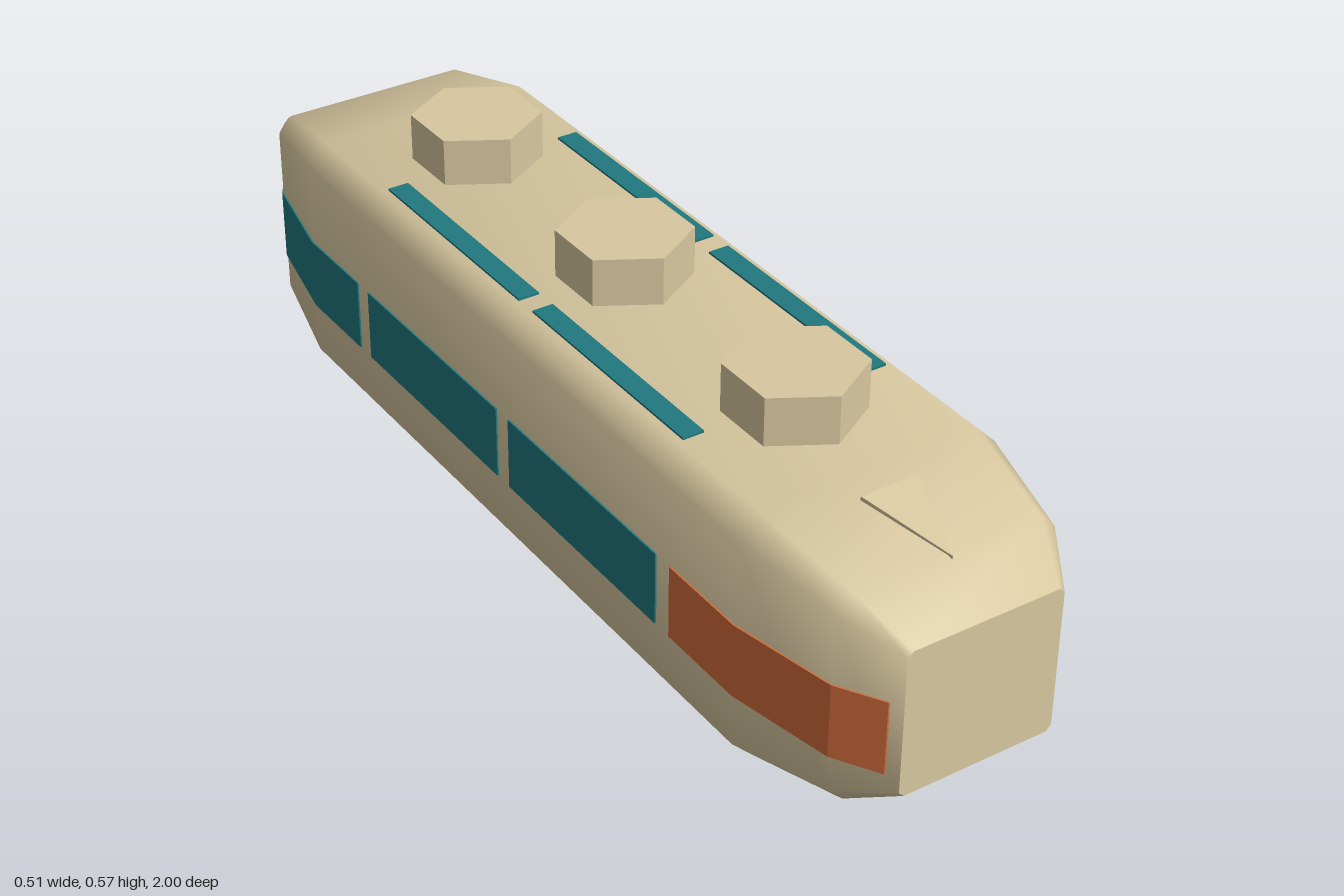
import * as THREE from 'three';
import { toCreasedNormals } from 'three/addons/utils/BufferGeometryUtils.js';

const TAN = 0xd8c8a0, TEAL = 0x20787f, ORANGE = 0xd26c3c;
const STUD_Z = [-0.5, 0, 0.5];

const material = (color) => new THREE.MeshStandardMaterial({ color });

function addMesh(parent, name, geometry, mat) {
  const mesh = new THREE.Mesh(geometry, mat);
  mesh.name = name;
  parent.add(mesh);
  return mesh;
}

// Half width of the body side at a given z
function halfWidth(z) {
  const a = Math.abs(z);
  if (a <= 0.7) return 0.25;
  return a <= 0.9 ? 0.25 - (a - 0.7) * 0.2 : 0.21 - (a - 0.9) * 0.6;
}

// Chamfered rectangle, counter-clockwise seen from +z
function ring(z, w, y0, y1, c) {
  return [
    [w, y0 + c], [w, y1 - c], [w - c, y1], [c - w, y1],
    [-w, y1 - c], [-w, y0 + c], [c - w, y0], [w - c, y0],
  ].map(([x, y]) => [x, y, z]);
}

function hexagon(r, cz) {
  return Array.from({ length: 6 }, (_, i) => {
    const a = Math.PI / 2 + i * Math.PI / 3;
    return [r * Math.cos(a), cz + r * Math.sin(a)];
  });
}

function bodyGeometry() {
  const pos = [];
  const tri = (a, b, c) => pos.push(...a, ...b, ...c);
  const quad = (a, b, c, d) => { tri(a, b, c); tri(a, c, d); };

  // Hull lofted through chamfered sections
  const end = [0.15, 0.1, 0.38, 0.01], mid = [0.21, 0.04, 0.44, 0.03], full = [0.25, 0, 0.48, 0.04];
  const rings = [
    ring(-1, ...end), ring(-0.9, ...mid), ring(-0.7, ...full),
    ring(0.7, ...full), ring(0.9, ...mid), ring(1, ...end),
  ];
  for (let k = 0; k < 5; k++) {
    for (let j = 0; j < 8; j++) {
      if (k === 2 && j === 6) continue; // flat underside is built with sockets below
      const n = (j + 1) % 8;
      quad(rings[k][j], rings[k][n], rings[k + 1][n], rings[k + 1][j]);
    }
  }
  // Flat ends
  for (let j = 0; j < 8; j++) {
    const n = (j + 1) % 8;
    tri([0, 0.24, 1], rings[5][j], rings[5][n]);
    tri([0, 0.24, -1], rings[0][n], rings[0][j]);
  }

  // Underside with hexagonal sockets
  const toV2 = ([x, y]) => new THREE.Vector2(x, y);
  const under = new THREE.Shape([[-0.21, -0.7], [0.21, -0.7], [0.21, 0.7], [-0.21, 0.7]].map(toV2));
  const depth = 0.09;
  for (const cz of STUD_Z) {
    const hex = hexagon(0.13, cz);
    under.holes.push(new THREE.Path(hex.map(toV2)));
    hex.forEach(([x, z], i) => {
      const [x2, z2] = hex[(i + 1) % 6];
      quad([x, 0, z], [x2, 0, z2], [x2, depth, z2], [x, depth, z]);
      tri([0, depth, cz], [x, depth, z], [x2, depth, z2]);
    });
  }
  const flat = new THREE.ShapeGeometry(under).toNonIndexed().attributes.position;
  for (let i = 0; i < flat.count; i++) pos.push(flat.getX(i), 0, flat.getY(i));

  const geo = new THREE.BufferGeometry();
  geo.setAttribute('position', new THREE.Float32BufferAttribute(pos, 3));
  return toCreasedNormals(geo, THREE.MathUtils.degToRad(50));
}

// Thin window panel that follows the side of the body
function sideWindow(side, z0, z1) {
  const zs = [z0, ...[-0.9, -0.7, 0.7, 0.9].filter((z) => z > z0 && z < z1), z1];
  const line = (offset) => zs.map((z) => new THREE.Vector2(side * (halfWidth(z) + offset), -z));
  const shape = new THREE.Shape([...line(0.003), ...line(-0.005).reverse()]);
  return new THREE.ExtrudeGeometry(shape, { depth: 0.14, bevelEnabled: false })
    .rotateX(-Math.PI / 2).translate(0, 0.14, 0);
}

export function createModel() {
  const model = new THREE.Group();
  model.name = 'train carriage';
  const tan = material(TAN), teal = material(TEAL), orange = material(ORANGE);

  addMesh(model, 'body', bodyGeometry(), tan);

  // Hexagonal roof studs
  for (const z of STUD_Z) {
    const stud = new THREE.CylinderGeometry(0.12, 0.12, 0.1, 6).toNonIndexed();
    stud.computeVertexNormals();
    addMesh(model, 'roofStud', stud, tan).position.set(0, 0.52, z);
  }

  for (const side of [-1, 1]) {
    // Side windows and front doors
    for (const z of [-0.98, -0.48, 0.02]) {
      addMesh(model, 'sideWindow', sideWindow(side, z, z + 0.46), teal);
    }
    addMesh(model, 'frontDoor', sideWindow(side, 0.52, 0.98), orange);
    // Roof strips
    for (const z of [-0.25, 0.25]) {
      const strip = new THREE.BoxGeometry(0.04, 0.01, 0.455);
      addMesh(model, 'roofStrip', strip, teal).position.set(side * 0.18, 0.479, z);
    }
  }

  // Raised direction marker on the sloping nose
  const arrow = new THREE.Shape([
    new THREE.Vector2(-0.055, 0), new THREE.Vector2(0, -0.164), new THREE.Vector2(0.055, 0),
  ]);
  const marker = new THREE.ExtrudeGeometry(arrow, { depth: 0.012, bevelEnabled: false })
    .rotateX(-Math.PI / 2).translate(0, -0.012, 0);
  const mesh = addMesh(model, 'noseMarker', marker, tan);
  mesh.position.set(0, 0.478, 0.75);
  mesh.rotation.x = Math.atan2(0.036, 0.16);

  return model;
}
